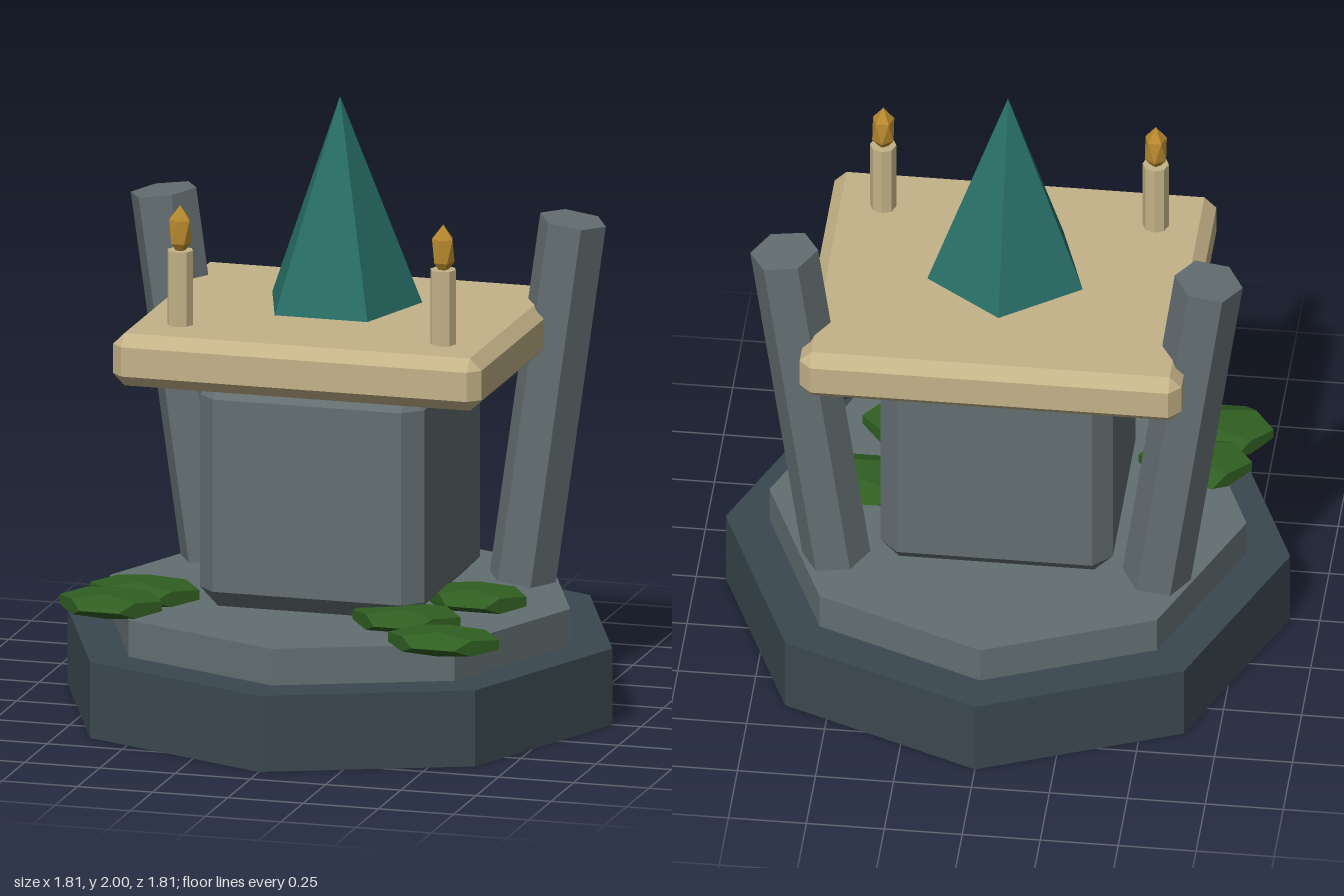
import * as THREE from 'three';
import { ConvexGeometry } from 'three/addons/geometries/ConvexGeometry.js';

function material(name, color) {
  const m = new THREE.MeshStandardMaterial({ color, flatShading: true });
  m.name = name;
  return m;
}

// Box with every edge cut at 45 degrees, given half sizes
function chamferedBox(hx, hy, hz, c) {
  const points = [];
  for (const x of [-1, 1]) for (const y of [-1, 1]) for (const z of [-1, 1]) {
    points.push(new THREE.Vector3(x * hx, y * (hy - c), z * (hz - c)));
    points.push(new THREE.Vector3(x * (hx - c), y * hy, z * (hz - c)));
    points.push(new THREE.Vector3(x * (hx - c), y * (hy - c), z * hz));
  }
  return new ConvexGeometry(points);
}

// Faceted flame: two staggered five-sided rings between two tips
function flameGeometry() {
  const points = [new THREE.Vector3(0, 0.085, 0), new THREE.Vector3(0, -0.085, 0)];
  for (let i = 0; i < 5; i++) {
    const a = (i * Math.PI * 2) / 5;
    const b = a + Math.PI / 5;
    points.push(new THREE.Vector3(Math.sin(a) * 0.036, 0.038, Math.cos(a) * 0.036));
    points.push(new THREE.Vector3(Math.sin(b) * 0.036, -0.038, Math.cos(b) * 0.036));
  }
  return new ConvexGeometry(points);
}

export function createModel() {
  const group = new THREE.Group();
  group.name = 'stoneAltar';
  const slate = material('darkSlate', 0x3a4850);
  const stone = material('greyStone', 0x636e71);
  const bone = material('paleStone', 0xc4b388);
  const teal = material('tealCrystal', 0x286f67);
  const gold = material('goldFlame', 0xb98a2e);
  const green = material('mossGreen', 0x305f22);

  function add(name, geometry, mat, x, y, z) {
    const mesh = new THREE.Mesh(geometry, mat);
    mesh.name = name;
    mesh.position.set(x, y, z);
    group.add(mesh);
    return mesh;
  }

  // Octagonal plinth
  add('plinth', new THREE.CylinderGeometry(0.905, 0.905, 0.25, 8), slate, 0, 0.125, 0);
  add('plinthStep', new THREE.CylinderGeometry(0.765, 0.765, 0.12, 8), stone, 0, 0.31, 0);

  // Altar body and table slab
  add('altarBody', chamferedBox(0.373, 0.376, 0.37, 0.06), stone, 0, 0.754, 0);
  add('tableSlab', chamferedBox(0.612, 0.086, 0.515, 0.038), bone, 0, 1.21, 0);

  // Floating five-sided crystal
  add('crystal', new THREE.ConeGeometry(0.262, 0.68, 5), teal, 0, 1.66, 0).rotation.y = Math.PI;

  // Mirrored leaning pillars and candles
  const pillarGeometry = new THREE.CylinderGeometry(0.11, 0.11, 1.2, 6).rotateY(Math.PI / 2);
  const candleGeometry = new THREE.CylinderGeometry(0.042, 0.042, 0.25, 8);
  const flame = flameGeometry();
  for (const [side, s] of [['left', 1], ['right', -1]]) {
    add(side + 'Pillar', pillarGeometry, stone, s * 0.597, 0.972, -0.315).rotation.z = -s * 0.14;
    add(side + 'Candle', candleGeometry, bone, s * 0.437, 1.415, 0.315);
    add(side + 'Flame', flame, gold, s * 0.437, 1.602, 0.315);
  }

  // Flattened moss clumps: x, z, half width, half depth
  const clumps = [
    [0.525, 0.607, 0.185, 0.127],
    [0.33, 0.365, 0.18, 0.135],
    [0.47, 0.05, 0.165, 0.132],
    [-0.63, 0.442, 0.17, 0.133],
    [-0.57, 0.265, 0.182, 0.135],
  ];
  const clumpGeometry = new THREE.DodecahedronGeometry(1.07).rotateY(Math.PI / 2);
  clumps.forEach(([x, z, w, d], i) => {
    add('mossClump' + (i + 1), clumpGeometry, green, x, 0.397, z).scale.set(w, 0.041, d);
  });

  return group;
}
